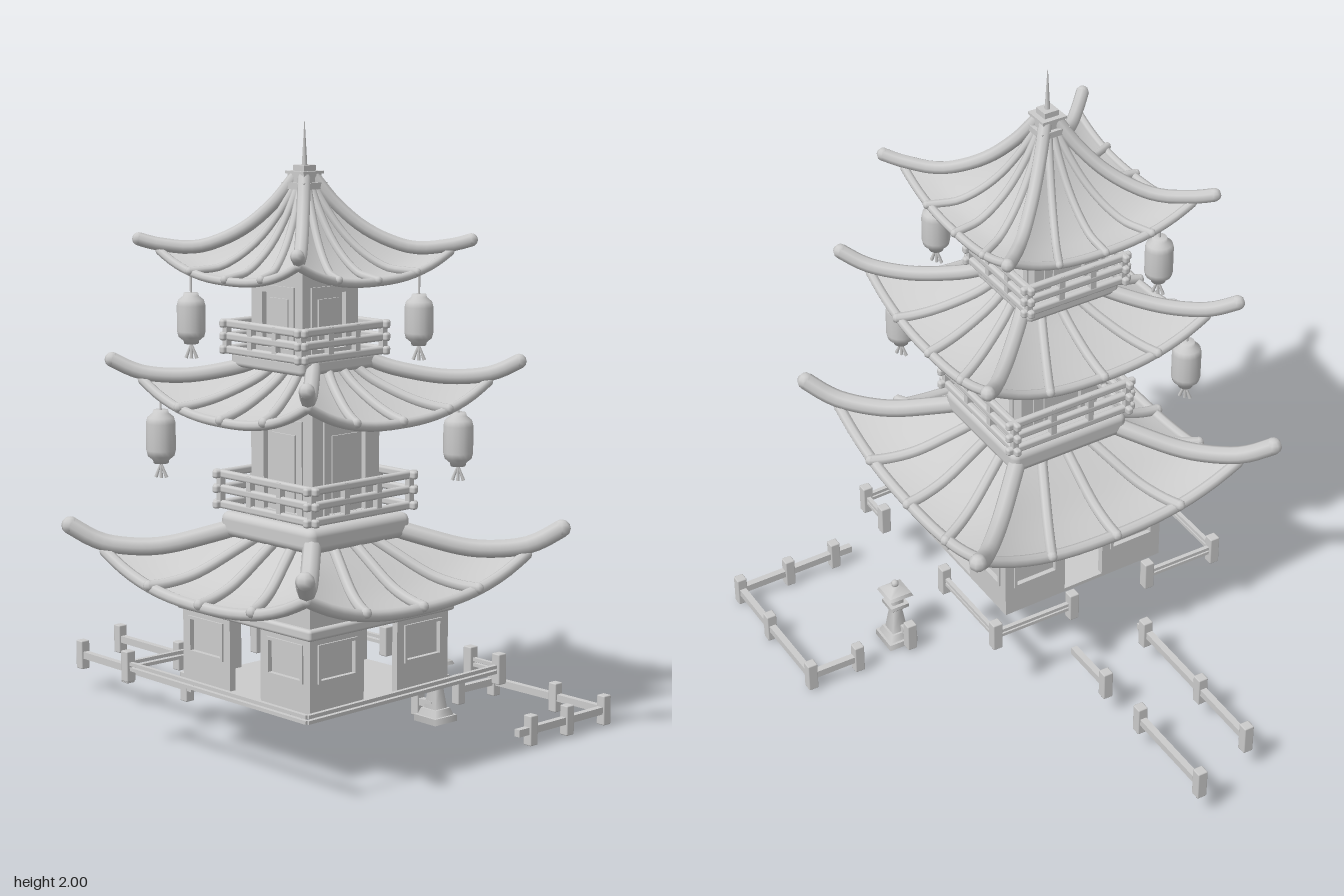
import * as THREE from 'three';
import { RoundedBoxGeometry } from 'three/addons/geometries/RoundedBoxGeometry.js';

const mat = new THREE.MeshStandardMaterial({ color: 0xcccccc });
const matTwoSided = new THREE.MeshStandardMaterial({ color: 0xcccccc, side: THREE.DoubleSide });
const V = (x, y, z) => new THREE.Vector3(x, y, z);

function add(parent, name, geo, x = 0, y = 0, z = 0, ry = 0, m = mat) {
  const mesh = new THREE.Mesh(geo, m);
  mesh.name = name;
  mesh.position.set(x, y, z);
  mesh.rotation.y = ry;
  parent.add(mesh);
  return mesh;
}
function group(parent, name, x = 0, y = 0, z = 0, ry = 0) {
  const g = new THREE.Group();
  g.name = name;
  g.position.set(x, y, z);
  g.rotation.y = ry;
  parent.add(g);
  return g;
}
const box = (w, h, d) => new THREE.BoxGeometry(w, h, d);

// Round log along a list of points, with rounded ends
function log(parent, name, pts, r) {
  add(parent, name, new THREE.TubeGeometry(new THREE.CatmullRomCurve3(pts), 20, r, 8));
  for (const p of [pts[0], pts[pts.length - 1]]) add(parent, name + 'End', new THREE.SphereGeometry(r, 8, 6), p.x, p.y, p.z);
}

// Rectangle shape from x0,y0 to x1,y1, optionally with a rectangular hole
function rect(x0, y0, x1, y1, hole) {
  const path = (P, a, b, c, d) => {
    const p = new P();
    p.moveTo(a, b); p.lineTo(c, b); p.lineTo(c, d); p.lineTo(a, d); p.closePath();
    return p;
  };
  const s = path(THREE.Shape, x0, y0, x1, y1);
  if (hole) s.holes.push(path(THREE.Path, ...hole));
  return s;
}
const extrude = (shape, depth) => new THREE.ExtrudeGeometry(shape, { depth, bevelEnabled: false });

// Sweeping square roof. ridge = [radius, y] points from top to eave, then the overhanging tip
function roof(parent, ridge, drop, beamR, ribR) {
  const g = group(parent, 'roof');
  const curve = new THREE.SplineCurve(ridge.map(p => new THREE.Vector2(...p)));
  const eave = (ridge.length - 2) / (ridge.length - 1);
  const at = (u, v, lift = 0) => {
    const p = curve.getPoint(v * eave), a = p.x / Math.SQRT2;
    return V(u * a, p.y - beamR + lift - drop * Math.pow(v, 1.4) * (1 - Math.pow(Math.abs(u), 2.5)), a);
  };
  const NU = 24, NV = 14, pos = [], idx = [];
  for (let j = 0; j <= NV; j++)
    for (let i = 0; i <= NU; i++) pos.push(...at((i / NU) * 2 - 1, j / NV).toArray());
  for (let j = 0; j < NV; j++)
    for (let i = 0; i < NU; i++) {
      const a = j * (NU + 1) + i, b = a + NU + 1;
      idx.push(a, b, a + 1, b, b + 1, a + 1);
    }
  const geo = new THREE.BufferGeometry();
  geo.setAttribute('position', new THREE.Float32BufferAttribute(pos, 3));
  geo.setIndex(idx);
  geo.computeVertexNormals();
  for (let k = 0; k < 4; k++) {
    const side = group(g, 'roofSide', 0, 0, 0, k * Math.PI / 2);
    add(side, 'roofSurface', geo, 0, 0, 0, 0, matTwoSided);
    const along = n => Array.from({ length: n + 1 }, (_, i) => i / n);
    log(side, 'eaveTrim', along(12).map(t => at(t * 2 - 1, 1)), beamR * 0.65);
    for (const u of [-0.5, 0, 0.5]) log(side, 'roofRib', along(8).map(t => at(u, 0.03 + t * 1.01, ribR * 0.6)), ribR);
    log(side, 'ridgeBeam', along(12).map(t => {
      const p = curve.getPoint(t);
      return V(p.x / Math.SQRT2, p.y, p.x / Math.SQRT2);
    }), beamR);
  }
}

// Upper storey: thin walls with framed doors; the one on side 1 stands open
function storey(parent, half, y0, y1, doorTop) {
  const g = group(parent, 'storey');
  const d = half * 0.64;
  for (let k = 0; k < 4; k++) {
    const side = group(g, 'wallSide', 0, 0, 0, k * Math.PI / 2);
    add(side, 'wall', new THREE.ShapeGeometry(rect(-half, y0, half, y1, [-d, y0 + 0.02, d, doorTop])), 0, 0, half);
    add(side, 'doorFrame', extrude(rect(-d - 0.008, y0 + 0.01, d + 0.008, doorTop + 0.008,
      [-d + 0.014, y0 + 0.03, d - 0.014, doorTop - 0.014]), 0.02), 0, 0, half - 0.014);
    if (k === 1) continue;
    add(side, 'door', new THREE.ShapeGeometry(rect(-d, y0 + 0.02, d, doorTop)), 0, 0, half - 0.012);
    add(side, 'doorPanel', box(d * 1.15, (doorTop - y0) * 0.8, 0.008), 0, (doorTop + y0) / 2 - 0.01, half - 0.01);
  }
}

// Balcony railing with three overlapping rails and posts
function railing(parent, s, ys, over) {
  const g = group(parent, 'railing');
  const h = ys[0] - ys[2];
  for (let k = 0; k < 4; k++) {
    const side = group(g, 'railingSide', 0, 0, 0, k * Math.PI / 2);
    for (const y of ys) add(side, 'rail', new RoundedBoxGeometry(2 * (s + over), 0.026, 0.022, 2, 0.008), 0, y, s);
    for (const t of [-1, -0.33, 0.33]) add(side, 'railPost', box(0.02, h + 0.02, 0.02), t * s, ys[2] + h / 2, s);
  }
}

// Ground storey: corner panels with windows and a doorway in each side
function groundStorey(parent) {
  const g = group(parent, 'groundStorey');
  const s = 0.297, w = 0.225, y0 = 0.225, y1 = 0.47;
  add(g, 'floor', box(2 * s, 0.012, 2 * s), 0, y0 + 0.004, 0);
  add(g, 'lintel', box(2 * s, 0.1, 2 * s), 0, 0.515, 0);
  add(g, 'lintelBand', new RoundedBoxGeometry(0.627, 0.036, 0.627, 2, 0.01), 0, 0.483, 0);
  add(g, 'cornice', box(0.5, 0.06, 0.5), 0, 0.56, 0);
  for (let k = 0; k < 4; k++) {
    const side = group(g, 'groundSide', 0, 0, 0, k * Math.PI / 2);
    for (const m of [-1, 1]) {
      const c = m * (s - w / 2), a = 0.072;
      add(side, 'wallPanel', extrude(rect(-w / 2, y0, w / 2, y1, [-a, 0.335, a, 0.437]), 0.022), c, 0, s - 0.022);
      add(side, 'window', box(2 * a, 0.104, 0.006), c, 0.386, s - 0.013);
      add(side, 'windowFrame', extrude(rect(-a - 0.01, 0.325, a + 0.01, 0.447, [-a, 0.335, a, 0.437]), 0.006), c, 0, s);
    }
  }
}

// Paper lantern on a cord with a tassel
function hangingLantern(parent, x, z, y, r, h, cord) {
  const g = group(parent, 'hangingLantern', x, y, z);
  const prof = [[0, -0.5], [0.5, -0.5], [0.55, -0.44], [0.9, -0.36], [1, -0.25], [1, 0.25], [0.9, 0.36], [0.55, 0.44], [0.5, 0.5], [0, 0.5]];
  add(g, 'lanternBody', new THREE.LatheGeometry(prof.map(p => new THREE.Vector2(p[0] * r, p[1] * h)), 16));
  add(g, 'lanternCord', new THREE.CylinderGeometry(0.004, 0.004, cord, 6), 0, h / 2 + cord / 2, 0);
  for (const t of [-1, 0, 1]) {
    const m = add(g, 'tassel', new THREE.CylinderGeometry(0.003, 0.006, 0.05, 5), t * 0.009, -h / 2 - 0.022, t * 0.004);
    m.rotation.z = t * 0.35;
  }
}

// Straight rail between two ground points [x, z]
function rail(parent, a, b, y, h, d) {
  const dx = b[0] - a[0], dz = b[1] - a[1];
  add(parent, 'fenceRail', box(Math.hypot(dx, dz), h, d), (a[0] + b[0]) / 2, y, (a[1] + b[1]) / 2, Math.atan2(-dz, dx));
}
// Fence: posts and the rail paths joining them
function fence(parent, name, posts, paths, y0, double) {
  const g = group(parent, name);
  for (const p of posts) add(g, 'fencePost', new RoundedBoxGeometry(0.034, 0.1, 0.034, 1, 0.004), p[0], y0 + 0.05, p[1], Math.PI / 4);
  for (const path of paths)
    for (let i = 1; i < path.length; i++)
      if (double) for (const dy of [-0.008, 0.009]) rail(g, path[i - 1], path[i], y0 + 0.05 + dy, 0.011, 0.014);
      else rail(g, path[i - 1], path[i], y0 + 0.05, 0.024, 0.022);
}

// Stone garden lantern: square stacked [bottom radius, top radius, y0, y1] tiers
function stoneLantern(parent, x, z) {
  const g = group(parent, 'stoneLantern', x, 0, z);
  const tiers = [[0.072, 0.072, 0, 0.022], [0.06, 0.048, 0.022, 0.045], [0.038, 0.022, 0.045, 0.13], [0.026, 0.045, 0.13, 0.145],
    [0.046, 0.046, 0.145, 0.158], [0.028, 0.028, 0.158, 0.195], [0.062, 0.055, 0.195, 0.206], [0.055, 0.016, 0.206, 0.225]];
  for (const [b, t, y0, y1] of tiers)
    add(g, 'lanternTier', new THREE.CylinderGeometry(t, b, y1 - y0, 4).toNonIndexed(), 0, (y0 + y1) / 2, 0);
  add(g, 'lanternKnob', new THREE.SphereGeometry(0.013, 8, 6), 0, 0.233, 0);
}

export function createModel() {
  const model = new THREE.Group();
  model.name = 'pagoda';
  const turn = Math.PI / 4 + 0.022, cz = 0.064;

  // Lower and middle levels
  const tower = group(model, 'tower', -0.043, 0, cz, turn);
  groundStorey(tower);
  roof(tower, [[0.2, 0.745], [0.33, 0.705], [0.5, 0.665], [0.665, 0.675], [0.775, 0.73]], 0.1, 0.029, 0.018);
  add(tower, 'balconyBase', new RoundedBoxGeometry(0.43, 0.08, 0.43, 3, 0.025), 0, 0.74, 0);
  railing(tower, 0.21, [0.9, 0.853, 0.803], 0.03);
  storey(tower, 0.142, 0.77, 1.2, 1.085);
  roof(tower, [[0.15, 1.275], [0.24, 1.24], [0.4, 1.212], [0.54, 1.22], [0.635, 1.26]], 0.09, 0.024, 0.016);

  // Top level
  const top = group(model, 'topLevel', -0.075, 0, cz, turn);
  add(top, 'balconyBase', new RoundedBoxGeometry(0.33, 0.05, 0.33, 3, 0.015), 0, 1.265, 0);
  railing(top, 0.172, [1.376, 1.336, 1.294], 0.026);
  storey(top, 0.117, 1.28, 1.61, 1.495);
  roof(top, [[0.03, 1.83], [0.1, 1.745], [0.2, 1.665], [0.33, 1.615], [0.45, 1.622], [0.515, 1.638]], 0.07, 0.021, 0.013);
  const tiers = [[0.1, 1.795, 1.815], [0.075, 1.815, 1.842], [0.085, 1.842, 1.85], [0.05, 1.85, 1.868]];
  for (const [w, a, b] of tiers) add(top, 'finialTier', box(w, b - a, w), 0, (a + b) / 2, 0);
  add(top, 'spire', new THREE.CylinderGeometry(0.001, 0.009, 0.14, 8), 0, 1.93, 0);

  // Lanterns under the side corners of the upper roofs
  for (const m of [-1, 1]) {
    hangingLantern(model, -0.075 + m * 0.355, cz, 1.39, 0.045, 0.16, 0.11);
    hangingLantern(model, -0.062 + m * 0.467, cz, 1.015, 0.047, 0.17, 0.07);
  }

  // Fence round the building, open at the two rear sides
  const L = [-0.64, 0.08], F = [-0.03, 0.68], R = [0.54, 0.05], B = [-0.06, -0.51];
  const gates = [[-0.46, -0.1], [-0.26, -0.31], [0.45, -0.04], [0.17, -0.29]];
  fence(model, 'courtyardFence', [L, R, B, ...gates],
    [[gates[0], L, F, R, gates[2]], [gates[1], B, gates[3]]], 0.225, true);

  // Fences along the rear path and the side garden
  fence(model, 'pathFence', [[-0.89, -0.62], [-0.71, -0.44], [-0.485, -0.22], [-0.79, -0.85], [-0.555, -0.62], [-0.415, -0.49]],
    [[[-0.89, -0.62], [-0.71, -0.44], [-0.46, -0.19]], [[-0.79, -0.85], [-0.555, -0.62]], [[-0.415, -0.49], [-0.28, -0.36]]], 0.08);
  const yard = [[0.41, -0.49], [0.53, -0.61], [0.735, -0.415], [0.89, -0.265], [0.765, -0.135], [0.645, -0.01]];
  fence(model, 'gardenFence', [...yard, [0.275, -0.345]], [[...yard, [0.6, 0.035]], [[0.275, -0.345], [0.33, -0.29]]], 0.008);

  stoneLantern(model, 0.335, -0.305);
  return model;
}
